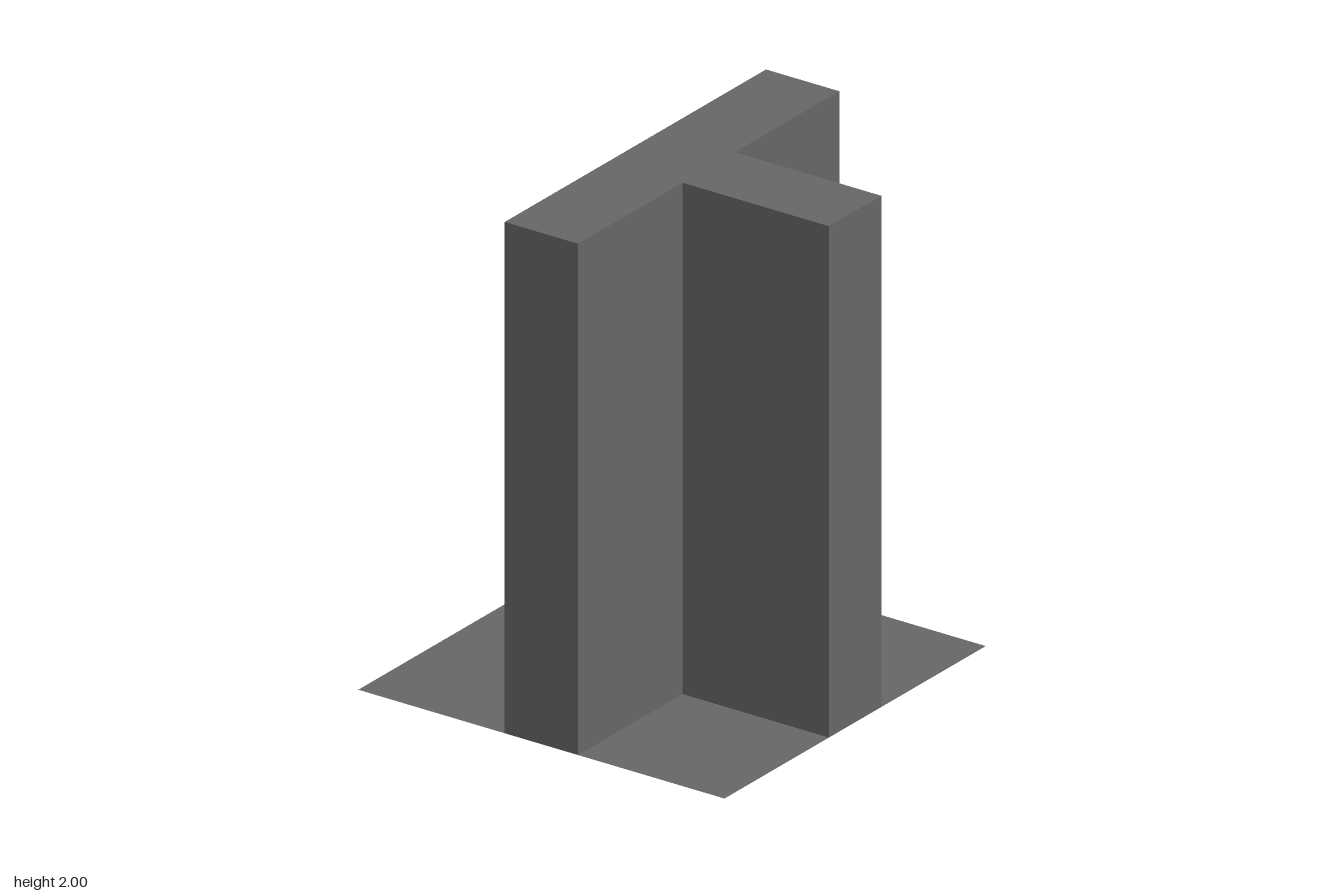
import * as THREE from 'three';

export function createModel() {
  const model = new THREE.Group();
  model.name = 'wallJunction';

  const gray = new THREE.MeshStandardMaterial({ color: 0x666666, side: THREE.DoubleSide });
  gray.name = 'concreteGray';

  const half = 0.8;  // half the tile width
  const t = 0.16;    // half the wall thickness
  const height = 2;

  // T-shaped wall: a full-width wall along z with a branch towards +x
  const plan = new THREE.Shape([
    [-t, -half], [t, -half], [t, -t], [half, -t],
    [half, t], [t, t], [t, half], [-t, half],
  ].map(([x, y]) => new THREE.Vector2(x, y)));
  const wallGeometry = new THREE.ExtrudeGeometry(plan, { depth: height, bevelEnabled: false });
  wallGeometry.rotateX(-Math.PI / 2);
  const wall = new THREE.Mesh(wallGeometry, gray);
  wall.name = 'wall';
  model.add(wall);

  // Flat square floor
  const floorGeometry = new THREE.PlaneGeometry(2 * half, 2 * half);
  floorGeometry.rotateX(-Math.PI / 2);
  const floor = new THREE.Mesh(floorGeometry, gray);
  floor.name = 'floor';
  model.add(floor);

  return model;
}
